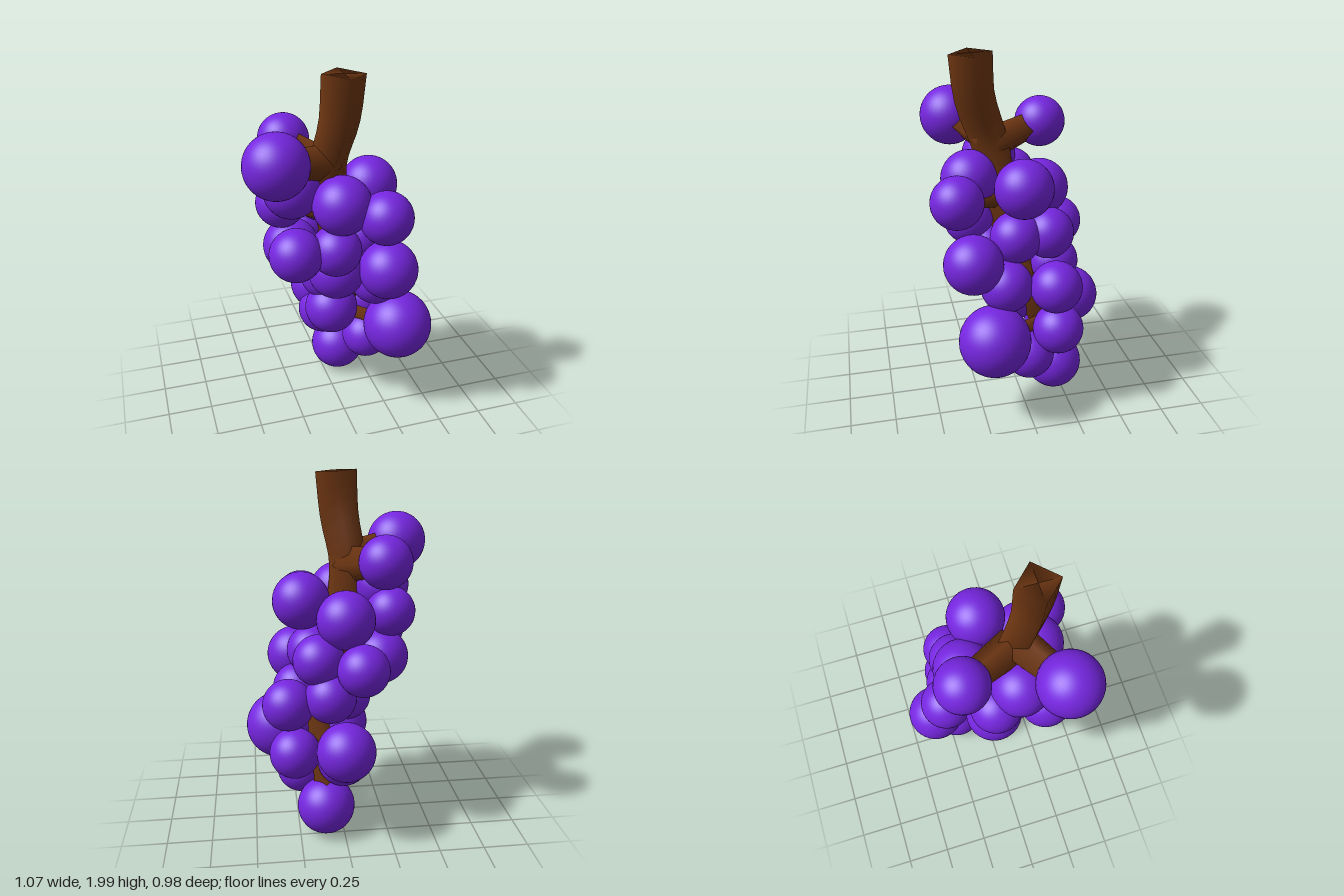
import * as THREE from 'three';

const purple = new THREE.MeshStandardMaterial({ color: 0x7626e0 });
const brown = new THREE.MeshStandardMaterial({ color: 0x6e3612, side: THREE.DoubleSide });

// Berries: x, y, z, radius, from top to bottom
const BERRIES = [
  [-0.37, 1.58, 0.3, 0.167],
  [-0.22, 1.555, -0.19, 0.142],
  [-0.25, 1.37, 0.1, 0.153],
  [0.21, 1.315, 0, 0.158],
  [-0.02, 1.315, 0.25, 0.157],
  [0.187, 1.26, 0.35, 0.142],
  [-0.28, 1.25, -0.035, 0.137],
  [-0.02, 1.235, -0.14, 0.16],
  [-0.27, 1.065, 0.25, 0.143],
  [-0.055, 1.065, 0.255, 0.138],
  [0.15, 1.02, 0.03, 0.143],
  [0.13, 1.02, -0.155, 0.142],
  [-0.23, 0.99, -0.03, 0.155],
  [-0.1, 0.99, -0.265, 0.142],
  [0.235, 0.92, 0.28, 0.162],
  [-0.02, 0.89, 0.15, 0.158],
  [0.07, 0.82, -0.2, 0.143],
  [0.3, 0.77, -0.16, 0.143],
  [0.23, 0.77, 0.1, 0.145],
  [-0.03, 0.77, -0.04, 0.143],
  [-0.01, 0.58, 0.02, 0.152],
  [0, 0.55, -0.33, 0.162],
  [0.34, 0.5, 0.19, 0.197],
  [0.27, 0.49, -0.185, 0.142],
  [0, 0.44, -0.2, 0.147],
  [0.225, 0.32, -0.03, 0.142],
  [0.1, 0.165, -0.21, 0.162],
];

// Four-sided tapered limb with closed ends
function limb(name, path, r0, r1, segments) {
  const sides = 4;
  const n = segments + 2;
  const geo = new THREE.TubeGeometry(path, n, 1, sides, false);
  const pos = geo.attributes.position;
  const v = new THREE.Vector3();
  for (let i = 0; i <= n; i++) {
    const ringCentre = path.getPointAt(i / n);
    // first and last rings shrink to a point to cap the limb
    const t = THREE.MathUtils.clamp((i - 1) / segments, 0, 1);
    const centre = path.getPointAt(t);
    const radius = i === 0 || i === n ? 0 : THREE.MathUtils.lerp(r0, r1, t);
    for (let j = 0; j <= sides; j++) {
      const k = i * (sides + 1) + j;
      v.fromBufferAttribute(pos, k).sub(ringCentre).multiplyScalar(radius).add(centre);
      pos.setXYZ(k, v.x, v.y, v.z);
    }
  }
  const mesh = new THREE.Mesh(geo, brown);
  mesh.name = name;
  return mesh;
}

export function createModel() {
  const model = new THREE.Group();
  model.name = 'grapeBunch';

  // Main stem, winding down through the bunch
  const stemPath = new THREE.CatmullRomCurve3([
    [-0.01, 1.985, 0.23],
    [-0.025, 1.75, 0.21],
    [-0.06, 1.5, 0.13],
    [-0.03, 1.25, 0.08],
    [0.04, 0.95, 0],
    [0.11, 0.65, -0.06],
    [0.1, 0.42, -0.16],
    [0.1, 0.25, -0.22],
  ].map((p) => new THREE.Vector3(...p)));
  model.add(limb('mainStem', stemPath, 0.115, 0.065, 24));

  // Berries, each joined to the stem by a twig
  const berries = new THREE.Group();
  berries.name = 'berries';
  const twigs = new THREE.Group();
  twigs.name = 'twigs';
  const stemPoints = stemPath.getSpacedPoints(60);
  const sphere = new THREE.SphereGeometry(1, 36, 24);
  BERRIES.forEach(([x, y, z, r], i) => {
    const berry = new THREE.Mesh(sphere, purple);
    berry.name = 'berry';
    berry.position.set(x, y, z);
    berry.scale.setScalar(r);
    berries.add(berry);

    // twig starts on the stem slightly below the berry
    const start = stemPoints.reduce((a, b) =>
      Math.abs(b.y - y + 0.06) < Math.abs(a.y - y + 0.06) ? b : a);
    const end = start.clone().lerp(berry.position, 0.75);
    const thick = i < 2 ? 0.1 : 0.055;
    twigs.add(limb('twig', new THREE.LineCurve3(start, end), thick, thick * 0.8, 2));
  });

  model.add(berries, twigs);
  return model;
}
